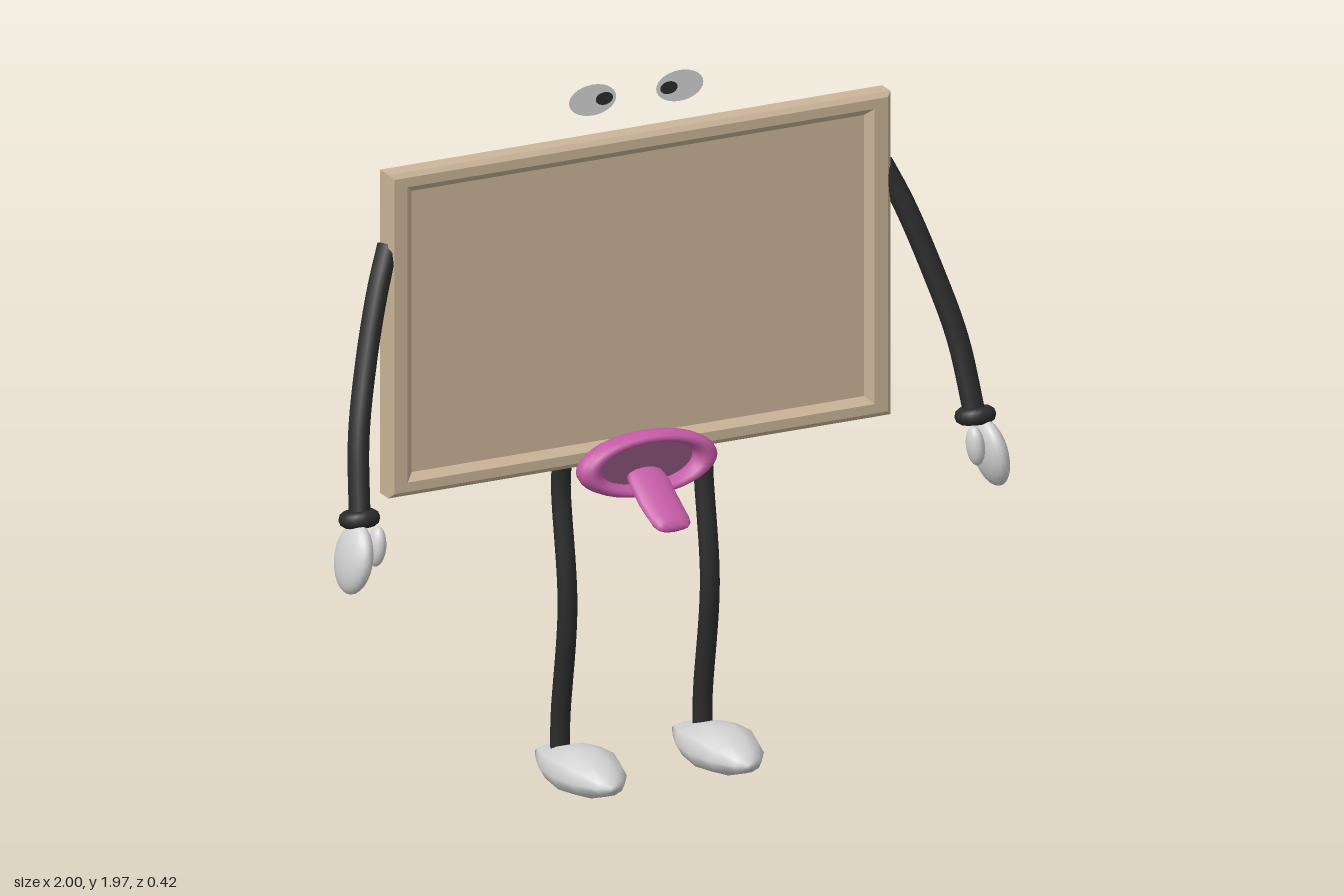
import * as THREE from 'three';

const mat = (name, color, side = THREE.FrontSide) => {
  const m = new THREE.MeshStandardMaterial({ color, side });
  m.name = name;
  return m;
};

// Closed surface through cross-sections ordered back to front, each counterclockwise seen from +z
function loft(sections, flat) {
  const n = sections[0].length, pos = [], idx = [];
  sections.forEach(s => s.forEach(p => pos.push(...p)));
  for (let i = 0; i < sections.length - 1; i++)
    for (let j = 0; j < n; j++) {
      const a = i * n + j, b = i * n + (j + 1) % n;
      idx.push(a, b, b + n, a, b + n, a + n);
    }
  const last = (sections.length - 1) * n;
  for (let j = 1; j < n - 1; j++) {
    idx.push(0, j + 1, j);
    idx.push(last, last + j, last + j + 1);
  }
  let g = new THREE.BufferGeometry();
  g.setAttribute('position', new THREE.Float32BufferAttribute(pos, 3));
  g.setIndex(idx);
  if (flat) g = g.toNonIndexed();
  g.computeVertexNormals();
  return g;
}

const oval = (n, z, y, w, h) => Array.from({ length: n }, (_, i) => {
  const a = (i / n) * Math.PI * 2;
  return [w * Math.cos(a), y + h * Math.sin(a), z];
});
const rect = (w, h, z) => [[w, -h, z], [w, h, z], [-w, h, z], [-w, -h, z]];

export function createModel() {
  const tan = mat('tan board', 0xcbb598);
  const black = mat('black limbs', 0x2b2b2b, THREE.DoubleSide);
  const white = mat('off white', 0xd2d2d2, THREE.DoubleSide);
  const pink = mat('pink lips', 0xc45ca6);
  const mauve = mat('dark mouth', 0x844f74, THREE.DoubleSide);

  const model = new THREE.Group();
  const add = (name, geo, material, x = 0, y = 0, z = 0, parent = model) => {
    const m = new THREE.Mesh(geo, material);
    m.name = name;
    m.position.set(x, y, z);
    parent.add(m);
    return m;
  };
  const tube = (pts, r) => new THREE.TubeGeometry(
    new THREE.CatmullRomCurve3(pts.map(p => new THREE.Vector3(...p))), 20, r, 10);

  // Board with chamfered rim and recessed panel
  add('board', loft([
    rect(0.755, 0.46, -0.11), rect(0.755, 0.46, -0.06), rect(0.742, 0.447, -0.05),
    rect(0.702, 0.42, -0.05), rect(0.68, 0.4, -0.07),
  ], true), tan, 0, 1.36, 0);

  // Mouth: oval lip ring, dark inside and tongue
  add('lips', new THREE.TorusGeometry(0.174, 0.034, 12, 36), pink, 0, 0.895, -0.018)
    .scale.set(1, 0.433, 1.1);
  add('mouthInside', new THREE.CircleGeometry(0.16, 32), mauve, 0, 0.895, -0.03)
    .scale.set(1, 0.433, 1);
  add('tongue', loft([
    oval(12, -0.05, 0.868, 0.05, 0.018), oval(12, 0, 0.843, 0.06, 0.026),
    oval(12, 0.06, 0.805, 0.06, 0.027), oval(12, 0.12, 0.776, 0.057, 0.025),
    oval(12, 0.145, 0.767, 0.05, 0.018), oval(12, 0.155, 0.763, 0.04, 0.009),
  ]), pink);

  const shoeGeo = loft([
    oval(10, -0.205, 0, 0.006, 0.003), oval(10, -0.185, 0, 0.045, 0.008),
    oval(10, -0.13, 0, 0.072, 0.024), oval(10, -0.05, 0, 0.102, 0.054),
    oval(10, 0.03, 0, 0.104, 0.065), oval(10, 0.11, 0, 0.082, 0.051),
    oval(10, 0.175, 0, 0.042, 0.026), oval(10, 0.195, 0, 0.012, 0.008),
  ]);
  const legGeo = tube([[0, 0.925, -0.095], [0, 0.84, -0.105], [0, 0.51, -0.065],
    [0, 0.18, -0.107], [0, 0.09, -0.11]], 0.027);
  const sphere = new THREE.SphereGeometry(1, 20, 14);

  for (const s of [1, -1]) {
    const side = s > 0 ? 'left' : 'right';

    // Floating flat eye with pupil looking inward
    add(side + 'Eye', new THREE.CircleGeometry(1, 28), white, s * 0.131, 1.928, -0.08)
      .scale.set(0.071, 0.044, 1);
    add(side + 'Pupil', new THREE.CircleGeometry(1, 20).translate(0, 0, 0), black.pupil ??= mat('black pupil', 0x2b2b2b),
      s * 0.097, 1.928, -0.077).scale.set(0.026, 0.018, 1);

    // Leg and shoe
    add(side + 'Leg', legGeo, black, s * 0.214, 0, 0);
    add(side + 'Shoe', shoeGeo, white, s * 0.206, 0.065, 0);

    // Arm, cuff and mitten hand
    add(side + 'Arm', tube([[s * 0.742, 1.61, -0.088], [s * 0.79, 1.5, -0.055],
      [s * 0.85, 1.32, -0.005], [s * 0.9, 1.13, 0.05], [s * 0.926, 0.91, 0.108]], 0.03), black);
    const hand = new THREE.Group();
    hand.name = side + 'Hand';
    model.add(hand);
    const cuff = add(side + 'Cuff', new THREE.TorusGeometry(0.034, 0.023, 10, 20), black,
      s * 0.926, 0.922, 0.105, hand);
    cuff.rotation.set(Math.PI / 2 - 0.2, 0, 0);
    const palm = add(side + 'Palm', sphere, white, s * 0.957, 0.822, 0.133, hand);
    palm.scale.set(0.039, 0.098, 0.083);
    palm.rotation.z = s * 0.2;
    const thumb = add(side + 'Thumb', sphere, white, s * 0.9, 0.855, 0.157, hand);
    thumb.scale.set(0.024, 0.056, 0.032);
    thumb.rotation.z = s * 0.1;
  }
  return model;
}
